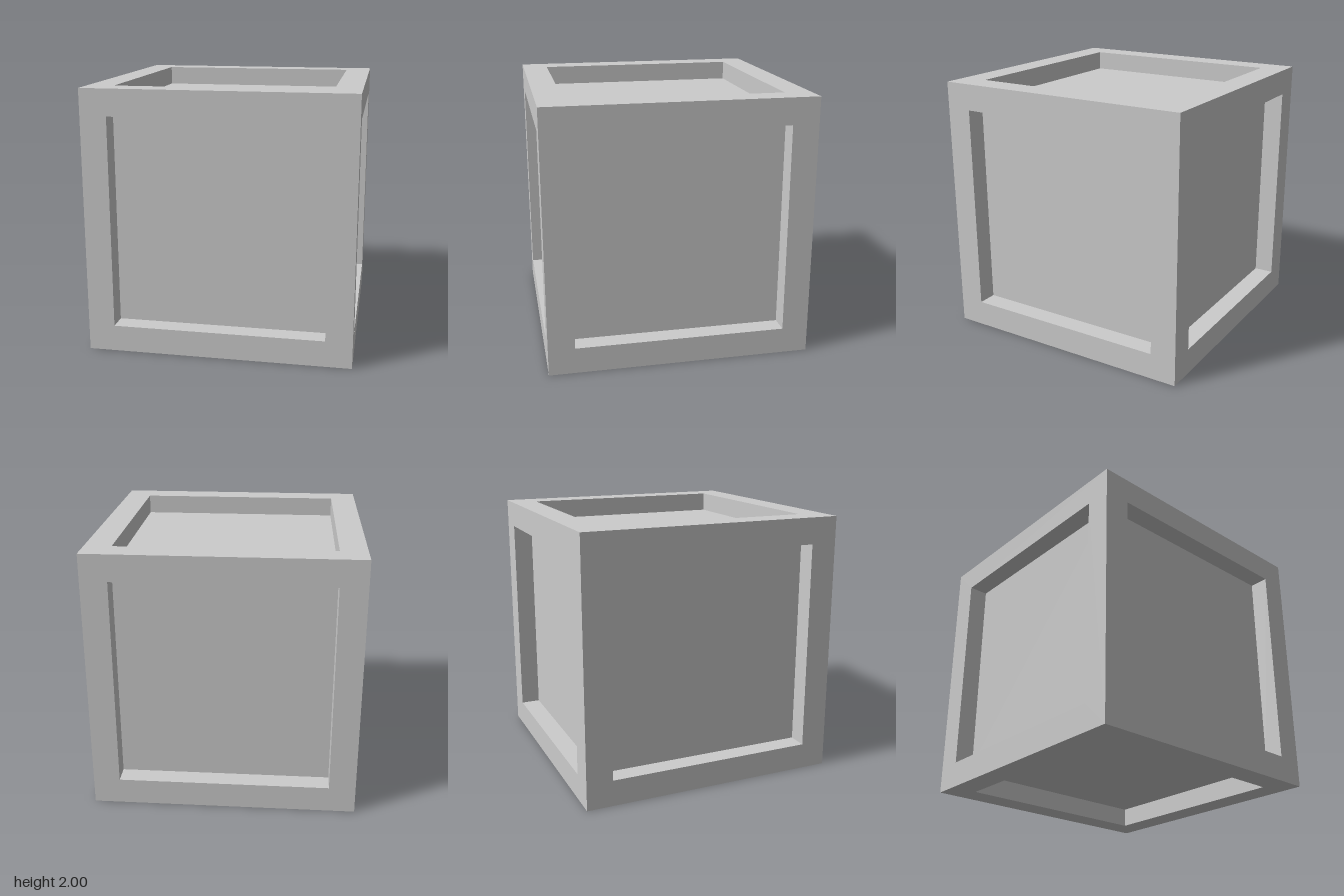
import * as THREE from 'three';
import { mergeGeometries } from 'three/addons/utils/BufferGeometryUtils.js';

const HALF = 1;      // half the cube's side
const INNER = 0.8;   // half the recess opening
const DEPTH = 0.15;  // recess depth

function square(path, h) {
  path.moveTo(-h, -h);
  path.lineTo(h, -h);
  path.lineTo(h, h);
  path.lineTo(-h, h);
  path.closePath();
  return path;
}

export function createModel() {
  const model = new THREE.Group();
  model.name = 'crate';
  const material = new THREE.MeshStandardMaterial({ color: 0xcccccc });

  // Flat border around each recess
  const shape = square(new THREE.Shape(), HALF);
  shape.holes.push(square(new THREE.Path(), INNER));
  const border = new THREE.ShapeGeometry(shape).translate(0, 0, HALF);

  // Four inward-facing walls of the recess
  const walls = mergeGeometries([0, 1, 2, 3].map((k) =>
    new THREE.PlaneGeometry(DEPTH, 2 * INNER)
      .rotateY(-Math.PI / 2)
      .translate(INNER, 0, HALF - DEPTH / 2)
      .rotateZ(k * Math.PI / 2)));

  // Sunken panel
  const panel = new THREE.PlaneGeometry(2 * INNER, 2 * INNER).translate(0, 0, HALF - DEPTH);

  const parts = { frameBorder: border, recessWalls: walls, recessedPanel: panel };
  const q = Math.PI / 2;
  const sides = {
    front: [0, 0], left: [0, q], back: [0, 2 * q], right: [0, -q], top: [-q, 0], bottom: [q, 0],
  };

  // The same side repeated on all six faces
  for (const [name, [rx, ry]] of Object.entries(sides)) {
    const side = new THREE.Group();
    side.name = name + 'Side';
    for (const [part, geometry] of Object.entries(parts)) {
      const mesh = new THREE.Mesh(geometry, material);
      mesh.name = part;
      side.add(mesh);
    }
    side.rotation.set(rx, ry, 0);
    side.position.y = HALF;
    model.add(side);
  }
  return model;
}
